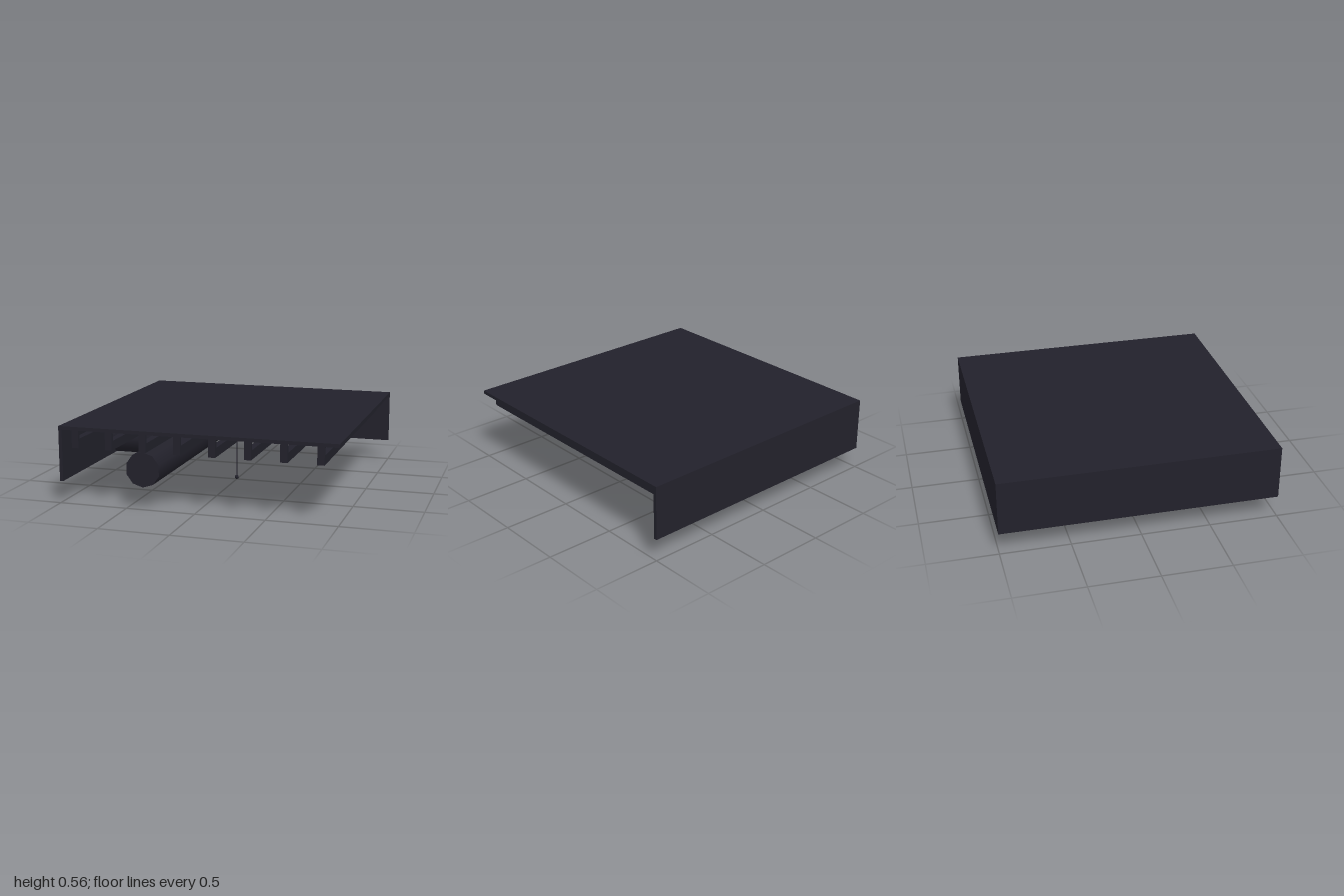
import * as THREE from 'three';

export function createModel() {
  const group = new THREE.Group();
  const dark = new THREE.MeshStandardMaterial({ color: 0x22212b });
  dark.name = 'dark slate';

  const add = (name, geometry, x, y, z, parent = group) => {
    const mesh = new THREE.Mesh(geometry, dark);
    mesh.name = name;
    mesh.position.set(x, y, z);
    parent.add(mesh);
    return mesh;
  };
  // box from its lower and upper limits on each axis
  const box = (name, x0, x1, y0, y1, z0, z1, parent) =>
    add(name, new THREE.BoxGeometry(x1 - x0, y1 - y0, z1 - z0),
      (x0 + x1) / 2, (y0 + y1) / 2, (z0 + z1) / 2, parent);

  // ceiling slab and the two walls
  const slabY = 0.53, beamTop = 0.47, beamBottom = 0.405, wall = 0.975;
  box('ceilingSlab', -1, 1, slabY, 0.555, -1, 1);
  box('backWall', -1, 1, 0.16, slabY, -1, -wall);
  box('rightWall', -1, -wall, 0.16, slabY, -wall, 1);

  // hanging joists, each held by short posts
  for (let i = 0; i < 8; i++) {
    const x = -0.875 + 0.25 * i;
    const joist = new THREE.Group();
    joist.name = 'joist' + (i + 1);
    group.add(joist);
    box('joistBeam', x - 0.025, x + 0.025, beamBottom, beamTop, -wall, 1, joist);
    for (const z of [-0.5, 0, 0.5, 1]) {
      box('joistPost', x - 0.025, x + 0.025, beamTop, slabY,
        z - 0.025, Math.min(z + 0.025, 1), joist);
    }
  }

  // ducts: one running front to back, one branching to the right wall
  const duct = (length) => new THREE.CylinderGeometry(0.125, 0.125, length, 10);
  add('mainDuct', duct(1 + wall).rotateX(Math.PI / 2), -0.375, 0.284, (1 - wall) / 2);
  add('branchDuct', duct(wall - 0.375).rotateZ(Math.PI / 2), -(wall + 0.375) / 2, 0.284, 0);

  // hanging lamp
  add('lampCord', new THREE.CylinderGeometry(0.004, 0.004, slabY - 0.02, 6), 0, (slabY + 0.02) / 2, 0);
  add('lampBulb', new THREE.SphereGeometry(0.016, 8, 6), 0, 0.016, 0);

  return group;
}
